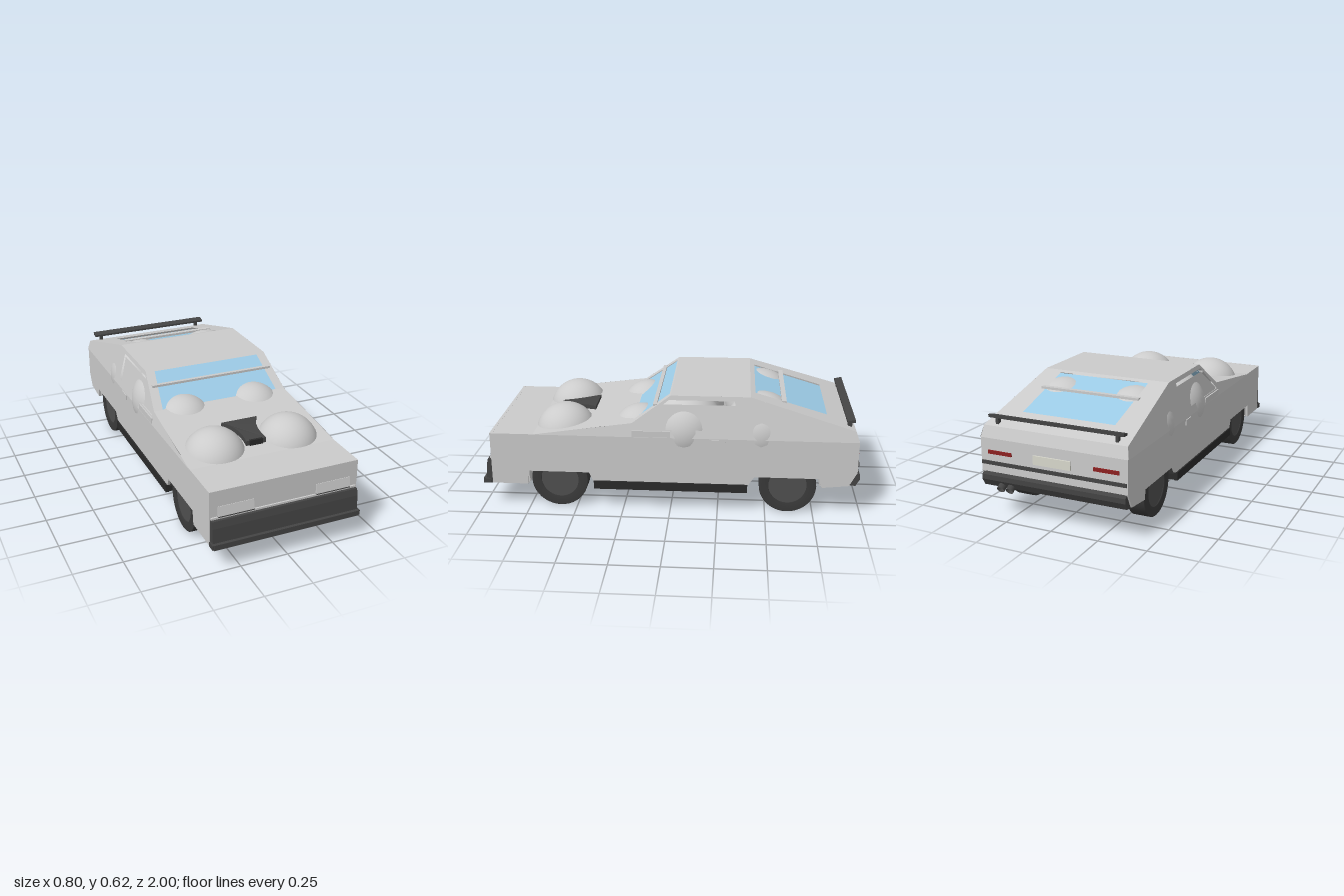
import * as THREE from 'three';

const GREY = 0xcccccc, DARK = 0x444444, BLACK = 0x2b2b2b, BLUE = 0x9ccbe6;

export function createModel() {
  const car = new THREE.Group();
  car.name = 'car';

  const mat = (color, extra = {}) => new THREE.MeshStandardMaterial({ color, ...extra });
  const add = (name, geo, color = GREY, x = 0, y = 0, z = 0, extra) => {
    const m = new THREE.Mesh(geo, mat(color, extra));
    m.name = name;
    m.position.set(x, y, z);
    car.add(m);
    return m;
  };
  const box = (name, w, h, d, x, y, z, color) => add(name, new THREE.BoxGeometry(w, h, d), color, x, y, z);
  const path = pts => pts.map(p => new THREE.Vector2(...p));

  // Flat sheet: outline (u, v) with optional hole, placed in space by a rule
  const sheet = (name, pts, hole, place, color) => {
    const shape = new THREE.Shape(path(pts));
    if (hole) shape.holes.push(new THREE.Path(path(hole)));
    const geo = new THREE.ShapeGeometry(shape);
    const p = geo.attributes.position;
    for (let i = 0; i < p.count; i++) p.setXYZ(i, ...place(p.getX(i), p.getY(i)));
    geo.computeVertexNormals();
    return add(name, geo, color, 0, 0, 0, { side: THREE.DoubleSide });
  };
  // Symmetrical four-corner outline
  const trapezoid = (w0, v0, w1, v1) => [[-w0, v0], [w0, v0], [w1, v1], [-w1, v1]];

  // Prism running across the car, from a (z, y) profile
  const crossPrism = (name, profile, width, color, x = 0) => {
    const geo = new THREE.ExtrudeGeometry(new THREE.Shape(path(profile)), { depth: width, bevelEnabled: false });
    geo.translate(0, 0, -width / 2);
    geo.rotateY(-Math.PI / 2);
    return add(name, geo, color, x);
  };

  // Lower body sides, with cut-outs above the wheels
  const sideProfile = [
    [0.95, 0.408], [0.95, 0.125], [0.76, 0.125], [0.75, 0.2], [0.43, 0.2], [0.41, 0.155],
    [-0.41, 0.155], [-0.44, 0.2], [-0.78, 0.2], [-0.79, 0.15], [-0.93, 0.165], [-0.97, 0.24], [-0.97, 0.408],
  ];
  const cabinX = y => 0.395 - 0.209 * (y - 0.41);
  const cabinProfile = [[0.72, 0.408], [0.2, 0.48], [0, 0.625], [-0.41, 0.625], [-0.95, 0.465], [-0.97, 0.408]];
  const windowHole = [[0.19, 0.45], [0.01, 0.602], [-0.33, 0.602], [-0.35, 0.45]];
  for (const s of [-1, 1]) {
    crossPrism('bodySide', sideProfile, 0.015, GREY, s * 0.385);
    sheet('cabinSide', cabinProfile, windowHole, (z, y) => [s * cabinX(y), y, z]);
    sheet('sideWindowPane', [[0.2, 0.41], [0.2, 0.455], [0.04, 0.575], [-0.35, 0.575], [-0.35, 0.41]], null,
      (z, y) => [s * (cabinX(y) - 0.015), y, z]);
    box('beltLedge', 0.02, 0.035, 0.2, s * 0.385, 0.425, 0.1);
    box('sill', 0.02, 0.045, 0.81, s * 0.39, 0.133, 0, BLACK);
    box('doorHandle', 0.006, 0.03, 0.07, s * 0.394, 0.385, -0.25);
  }

  // Bonnet, roof and tail surfaces
  sheet('noseTop', trapezoid(0.392, 0.95, 0.392, 0.72), null, (x, z) => [x, 0.408, z]);
  sheet('bonnet', trapezoid(0.392, 0.72, 0.38, 0.2), null, (x, z) => [x, 0.408 + (0.72 - z) * 0.1385, z]);
  sheet('roof', trapezoid(0.35, 0, 0.35, -0.41), null, (x, z) => [x, 0.625, z]);
  const shieldZ = y => 0.2 - (y - 0.48) * 1.379;
  sheet('windscreenFrame', trapezoid(0.38, 0.48, 0.35, 0.625), trapezoid(0.33, 0.482, 0.302, 0.619),
    (x, y) => [x, y, shieldZ(y)]);
  sheet('windscreen', trapezoid(0.345, 0.48, 0.315, 0.625), null, (x, y) => [x, y - 0.006, shieldZ(y) - 0.004], BLUE);
  const deckY = z => 0.625 + (z + 0.41) * 0.2963;
  sheet('rearDeck', trapezoid(0.35, -0.41, 0.3835, -0.95), trapezoid(0.25, -0.435, 0.25, -0.81),
    (x, z) => [x, deckY(z), z]);
  sheet('rearGlass', trapezoid(0.265, -0.42, 0.265, -0.825), null, (x, z) => [x, deckY(z) - 0.012, z], BLUE);
  sheet('tailTop', trapezoid(0.3835, 0.465, 0.392, 0.408), null, (x, y) => [x, y, -0.97 + (y - 0.408) * 0.35]);
  box('windscreenBar', 0.69, 0.012, 0.02, 0, 0.569, 0.082);
  box('rearGlassBar', 0.54, 0.012, 0.025, 0, 0.575, -0.585);

  // Front panel with slim headlamp slots, and wedge bumper
  box('frontPanel', 0.78, 0.283, 0.015, 0, 0.267, 0.943);
  box('frontCrease', 0.77, 0.01, 0.012, 0, 0.268, 0.953);
  for (const s of [-1, 1]) {
    crossPrism('headlamp', [[0.948, 0.325], [0.953, 0.325], [0.962, 0.275], [0.948, 0.275]], 0.185, GREY, s * 0.258);
    box('headlampSlot', 0.185, 0.004, 0.018, s * 0.258, 0.274, 0.955, DARK);
  }
  crossPrism('frontBumper', [[0.945, 0.26], [0.97, 0.26], [0.978, 0.225], [0.983, 0.15], [1, 0.15], [1, 0.122], [0.945, 0.122]],
    0.775, DARK);
  box('frontLip', 0.79, 0.025, 0.04, 0, 0.137, 0.978, DARK);
  box('frontUndertray', 0.76, 0.01, 0.19, 0, 0.13, 0.85);
  box('frontBayWall', 0.76, 0.27, 0.01, 0, 0.265, 0.755);

  // Tail panel, lamps, blank plate, bumper and pipes
  box('tailPanel', 0.78, 0.17, 0.015, 0, 0.323, -0.963);
  box('tailStrip', 0.775, 0.018, 0.012, 0, 0.285, -0.971, DARK);
  box('numberPlate', 0.2, 0.045, 0.01, 0, 0.335, -0.973, 0xd8d8cc);
  for (const s of [-1, 1]) box('tailLamp', 0.13, 0.018, 0.01, s * 0.285, 0.34, -0.972, 0x8c2020);
  crossPrism('rearBumper', [[-0.93, 0.165], [-0.965, 0.165], [-0.985, 0.2], [-0.985, 0.225], [-0.95, 0.24]], 0.77, DARK);
  sheet('rearUndertray', trapezoid(0.38, -0.79, 0.38, -0.94), null, (x, z) => [x, 0.16, z]);
  box('rearBayWall', 0.76, 0.25, 0.01, 0, 0.28, -0.785);
  for (const x of [0.23, 0.28]) {
    const pipe = add('exhaustPipe', new THREE.CylinderGeometry(0.02, 0.02, 0.09, 16, 1, true), DARK, x, 0.178, -0.952,
      { side: THREE.DoubleSide });
    pipe.rotation.x = -Math.PI / 2 - 0.6;
    pipe.position.y = 0.185;
  }

  // Rear spoiler
  crossPrism('spoilerWing', [[-0.905, 0.5], [-0.905, 0.511], [-0.945, 0.52], [-0.945, 0.504]], 0.72, DARK);
  for (const s of [-1, 1]) box('spoilerPost', 0.015, 0.045, 0.022, s * 0.32, 0.485, -0.922, DARK);

  // Floor
  box('floor', 0.77, 0.03, 0.81, 0, 0.128, 0, BLACK);

  // Pairs of large spheres in the bonnet, cabin and rear
  const spheres = [
    ['bonnetSphere', 0.163, 0.357, 0.575], ['dashSphere', 0.163, 0.36, 0.165],
    ['cabinSphere', 0.198, 0.412, -0.07], ['rearSphere', 0.194, 0.41, -0.47],
  ];
  for (const [name, r, y, z] of spheres) {
    for (const s of [-1, 1]) add(name, new THREE.SphereGeometry(r, 40, 28), GREY, s * 0.203, y, z);
  }

  // Dark intake between the bonnet spheres: waisted block with an open box in front
  const intake = new THREE.Shape();
  intake.moveTo(-0.1, -0.43);
  intake.lineTo(0.1, -0.43);
  intake.quadraticCurveTo(0.035, -0.52, 0.055, -0.63);
  intake.lineTo(-0.055, -0.63);
  intake.quadraticCurveTo(-0.035, -0.52, -0.1, -0.43);
  const intakeGeo = new THREE.ExtrudeGeometry(intake, { depth: 0.1, bevelEnabled: false, curveSegments: 10 });
  intakeGeo.rotateX(-Math.PI / 2);
  const ip = intakeGeo.attributes.position;
  for (let i = 0; i < ip.count; i++) {
    const z = ip.getZ(i);
    if (ip.getY(i) > 0.05) ip.setY(i, 0.478 - (z - 0.43) * 0.14 - ip.getX(i) ** 2 * 1.2);
    else ip.setY(i, 0.38);
  }
  intakeGeo.computeVertexNormals();
  add('intake', intakeGeo, DARK);
  box('intakeMouth', 0.07, 0.03, 0.012, 0, 0.434, 0.63, BLACK);

  // Wheels: tyre with a rounded shoulder and a recessed hub disc
  const tyreProfile = path([[0.1, -0.04], [0.1, -0.047], [0.147, -0.047], [0.15, -0.044],
    [0.15, 0.044], [0.147, 0.047], [0.1, 0.047], [0.1, 0.04]]);
  for (const z of [0.59, -0.615]) {
    for (const s of [-1, 1]) {
      const wheel = new THREE.Group();
      wheel.name = 'wheel';
      const tyre = new THREE.Mesh(new THREE.LatheGeometry(tyreProfile, 40), mat(0x3a3a3a, { side: THREE.DoubleSide }));
      tyre.name = 'tyre';
      const hub = new THREE.Mesh(new THREE.CylinderGeometry(0.1, 0.1, 0.08, 40), mat(0x505050));
      hub.name = 'hub';
      wheel.add(tyre, hub);
      wheel.rotation.z = Math.PI / 2;
      wheel.position.set(s * 0.33, 0.15, z);
      car.add(wheel);
    }
  }
  return car;
}
